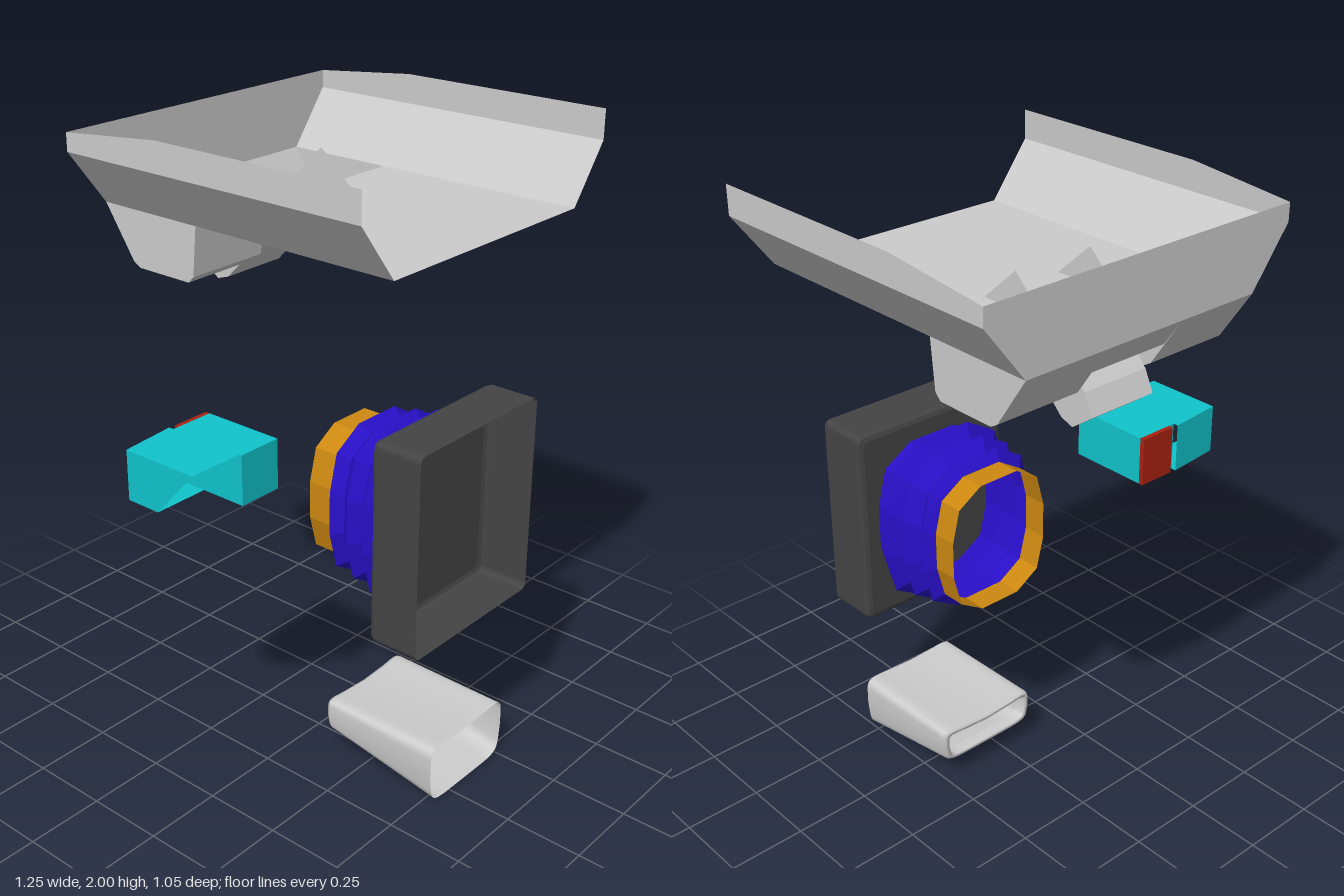
import * as THREE from 'three';

const material = (color, flatShading = true) =>
  new THREE.MeshStandardMaterial({ color, flatShading, side: THREE.DoubleSide });
const GREY = material(0xcccccc), SMOOTH = material(0xcccccc, false);
const DARK = material(0x444444), BLUE = material(0x2a10cc);
const ORANGE = material(0xcc8811), TEAL = material(0x10c4cc), RED = material(0xaa2211);

// Skin between successive rings of [x, y, z] points
function loft(rings, closed = true) {
  const n = rings[0].length, index = [];
  for (let r = 0; r < rings.length - 1; r++) {
    for (let i = 0; i < (closed ? n : n - 1); i++) {
      const a = r * n + i, b = r * n + (i + 1) % n;
      index.push(a, b, b + n, a, b + n, a + n);
    }
  }
  const g = new THREE.BufferGeometry();
  g.setAttribute('position', new THREE.Float32BufferAttribute(rings.flat(2), 3));
  g.setIndex(index);
  g.computeVertexNormals();
  return g;
}

// Flat polygon in the xy plane
const polygon = pts => new THREE.ShapeGeometry(new THREE.Shape(pts.map(p => new THREE.Vector2(...p))));
// Flat polygon of [z, y] points standing at a given x
const sidePolygon = (pts, x) => polygon(pts).rotateY(-Math.PI / 2).translate(x, 0, 0);
// A [z, y] profile swept from x0 to x1
const strip = (pts, x0, x1) => loft([x0, x1].map(x => pts.map(([z, y]) => [x, y, z])), false);

function roundedRect(cx, cy, hw, hh, r, z) {
  const pts = [];
  [[1, 1], [-1, 1], [-1, -1], [1, -1]].forEach(([sx, sy], c) => {
    for (let i = 0; i <= 4; i++) {
      const a = (c + i / 4) * Math.PI / 2;
      pts.push([cx + sx * (hw - r) + r * Math.cos(a), cy + sy * (hh - r) + r * Math.sin(a), z]);
    }
  });
  return pts;
}

export function createModel() {
  const root = new THREE.Group();
  const group = name => {
    const g = new THREE.Group();
    g.name = name;
    root.add(g);
    return g;
  };
  const add = (parent, name, geometry, mat) => {
    const m = new THREE.Mesh(geometry, mat);
    m.name = name;
    parent.add(m);
    return m;
  };

  // Open tray: two flared sides, floor and back wall
  const tray = group('tray');
  const stations = [[0.53, 2.0], [-0.17, 2.0], [-0.52, 1.965]];
  for (const s of [-1, 1]) {
    const x = h => 0.08 + s * h;
    add(tray, s < 0 ? 'rightWall' : 'leftWall', loft(stations.map(([z, top]) =>
      [[x(0.54), top, z], [x(0.54), 1.91, z], [x(0.41), 1.74, z]]), false), GREY);
  }
  add(tray, 'trayFloor', strip([[0.53, 1.74], [-0.16, 1.74]], -0.33, 0.49), GREY);
  add(tray, 'backWall', polygon([[-0.33, 1.74], [0.49, 1.74], [0.62, 1.91], [0.62, 1.965],
    [-0.46, 1.965], [-0.46, 1.91]]).translate(0, 0, -0.52), GREY);

  // Two wells under the rear of the tray
  const well = [[-0.16, 1.74], [-0.175, 1.59], [-0.195, 1.57], [-0.39, 1.57], [-0.415, 1.585], [-0.52, 1.74]];
  add(tray, 'rightWell', strip(well, -0.33, -0.055), GREY);
  add(tray, 'leftWell', strip(well, 0.215, 0.49), GREY);
  for (const x of [-0.33, 0.49]) add(tray, 'wellEnd', sidePolygon(well, x), GREY);

  // Sloping chute between the wells, with tall cheeks and a spout
  const chute = group('chute');
  const chuteLine = [[-0.053, 1.74], [-0.235, 1.57], [-0.32, 1.65], [-0.46, 1.655], [-0.52, 1.74]];
  add(chute, 'chuteFloor', strip(chuteLine, -0.055, 0.215), GREY);
  const wellSide = [[-0.17, 1.632], [-0.175, 1.59], [-0.195, 1.57], [-0.39, 1.57], [-0.415, 1.585],
    [-0.52, 1.74], [-0.46, 1.655], [-0.32, 1.65], [-0.235, 1.57]];
  const cheek = [[-0.053, 1.74], [-0.178, 1.85], [-0.36, 1.67], [-0.32, 1.65], [-0.235, 1.57]];
  for (const x of [-0.055, 0.215]) {
    add(chute, 'wellInnerSide', sidePolygon(wellSide, x), GREY);
    add(chute, 'chuteCheek', sidePolygon(cheek, x), GREY);
  }
  const spoutProfile = [[-0.24, 1.572], [-0.334, 1.478], [-0.376, 1.464], [-0.45, 1.517], [-0.42, 1.58], [-0.36, 1.645]];
  add(chute, 'spout', strip([...spoutProfile, spoutProfile[0]], -0.03, 0.195), GREY);
  for (const x of [-0.03, 0.195]) add(chute, 'spoutSide', sidePolygon(spoutProfile, x), GREY);

  // Box open at the front, with rounded rear edges
  const housing = [[0.53, 0], [0.378, 0], [0.365, 0.005], [0.36, 0.018]].map(([z, inset]) =>
    roundedRect(0.0825, 0.8825, 0.278 - inset, 0.322 - inset, 0.02, z));
  housing.push(housing[0].map(() => [0.0825, 0.8825, 0.36]));
  add(root, 'housing', loft(housing), DARK);

  // Pleated bellows and its end collar, twelve-sided
  const quarter = [[0.217, 0.07], [0.185, 0.19], [0.085, 0.25]];
  const outline = [...quarter, ...quarter.map(([x, y]) => [-x, y]).reverse(),
    ...quarter.map(([x, y]) => [-x, -y]), ...quarter.map(([x, y]) => [x, -y]).reverse()];
  const pleat = ([z, d]) => outline.map(([x, y]) =>
    [0.0825 + x * (1 + d / 0.217), 0.883 + y * (1 + d / 0.25), z]);
  add(root, 'bellows', loft([[0.36, 0], [0.34, -0.02], [0.305, 0.026], [0.265, -0.025], [0.23, 0.01],
    [0.19, -0.03], [0.155, -0.003], [0.13, -0.035]].map(pleat)), BLUE);
  add(root, 'collar', loft([[0.13, -0.036], [0.05, -0.036]].map(pleat)), ORANGE);

  // Elbow: closed block beside a scoop with a slanted open front
  const elbow = group('elbow');
  add(elbow, 'elbowBlock', new THREE.BoxGeometry(0.145, 0.155, 0.265), TEAL)
    .position.set(-0.3775, 1.0975, -0.0225);
  add(elbow, 'elbowScoop', loft([[-0.63, -0.155], [-0.45, -0.172]].map(([x, back]) =>
    [[x, 1.175, 0.1], [x, 1.175, back], [x, 1.02, back], [x, 1.02, -0.04]]), false), TEAL);
  add(elbow, 'scoopSide', sidePolygon([[0.1, 1.175], [-0.155, 1.175], [-0.155, 1.02], [-0.04, 1.02]], -0.63), TEAL);
  add(elbow, 'elbowBackPlate', new THREE.BoxGeometry(0.125, 0.155, 0.015), RED)
    .position.set(-0.3675, 1.0975, -0.1625);

  // Tapering duct with a sagging top and an inward rear lip
  const ductRing = (z, bottom, top, hw, sag) => {
    const ring = [], soft = v => Math.sign(v) * Math.abs(v) ** 0.3;
    for (let i = 0; i < 48; i++) {
      const a = i / 48 * Math.PI * 2;
      const u = soft(Math.cos(a)), v = soft(Math.sin(a));
      const y = (top + bottom) / 2 + v * (top - bottom) / 2 - sag * (1 - u * u) * Math.max(v, 0);
      ring.push([0.0825 + u * hw * (v < 0 ? 1 + 0.06 * v : 1), y, z]);
    }
    return ring;
  };
  add(root, 'duct', loft([ductRing(0.53, 0, 0.205, 0.183, 0.015), ductRing(0.13, 0.077, 0.205, 0.182, 0.02),
    ductRing(0.12, 0.083, 0.202, 0.178, 0.02), ductRing(0.12, 0.095, 0.19, 0.163, 0.018),
    ductRing(0.16, 0.095, 0.19, 0.163, 0.018)]), SMOOTH);

  return root;
}
